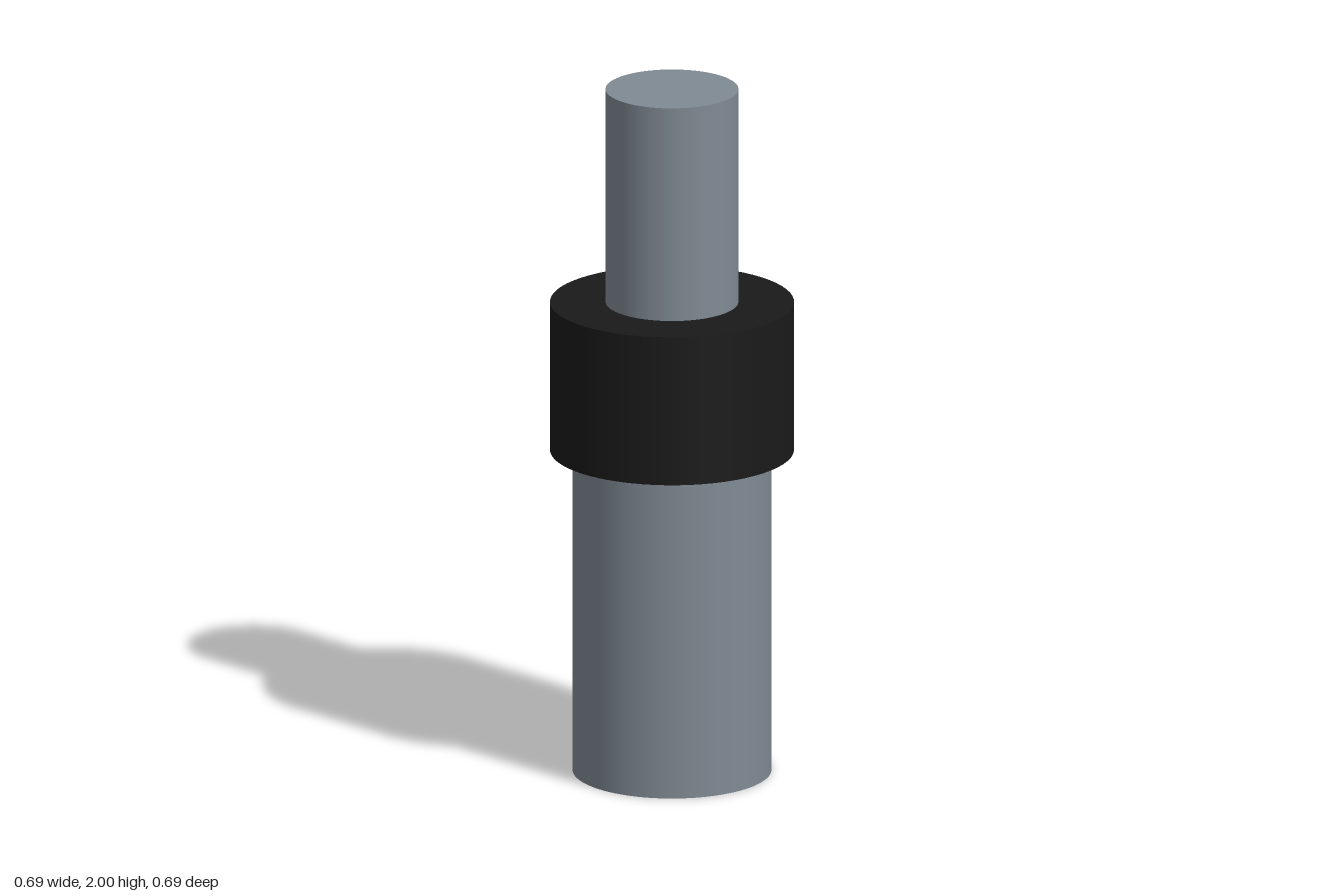
import * as THREE from 'three';

export function createModel() {
  const group = new THREE.Group();
  const metal = new THREE.MeshStandardMaterial({ color: 0x808a94 });
  const black = new THREE.MeshStandardMaterial({ color: 0x1a1a1a });

  // Upright cylinder between two heights
  function addCylinder(name, radius, bottom, top, material) {
    const geometry = new THREE.CylinderGeometry(radius, radius, top - bottom, 64);
    const mesh = new THREE.Mesh(geometry, material);
    mesh.name = name;
    mesh.position.y = (bottom + top) / 2;
    group.add(mesh);
  }

  addCylinder('lowerBody', 0.28, 0, 0.94, metal);
  addCylinder('collar', 0.343, 0.94, 1.375, black);
  addCylinder('upperShaft', 0.187, 1.375, 2, metal);

  return group;
}
